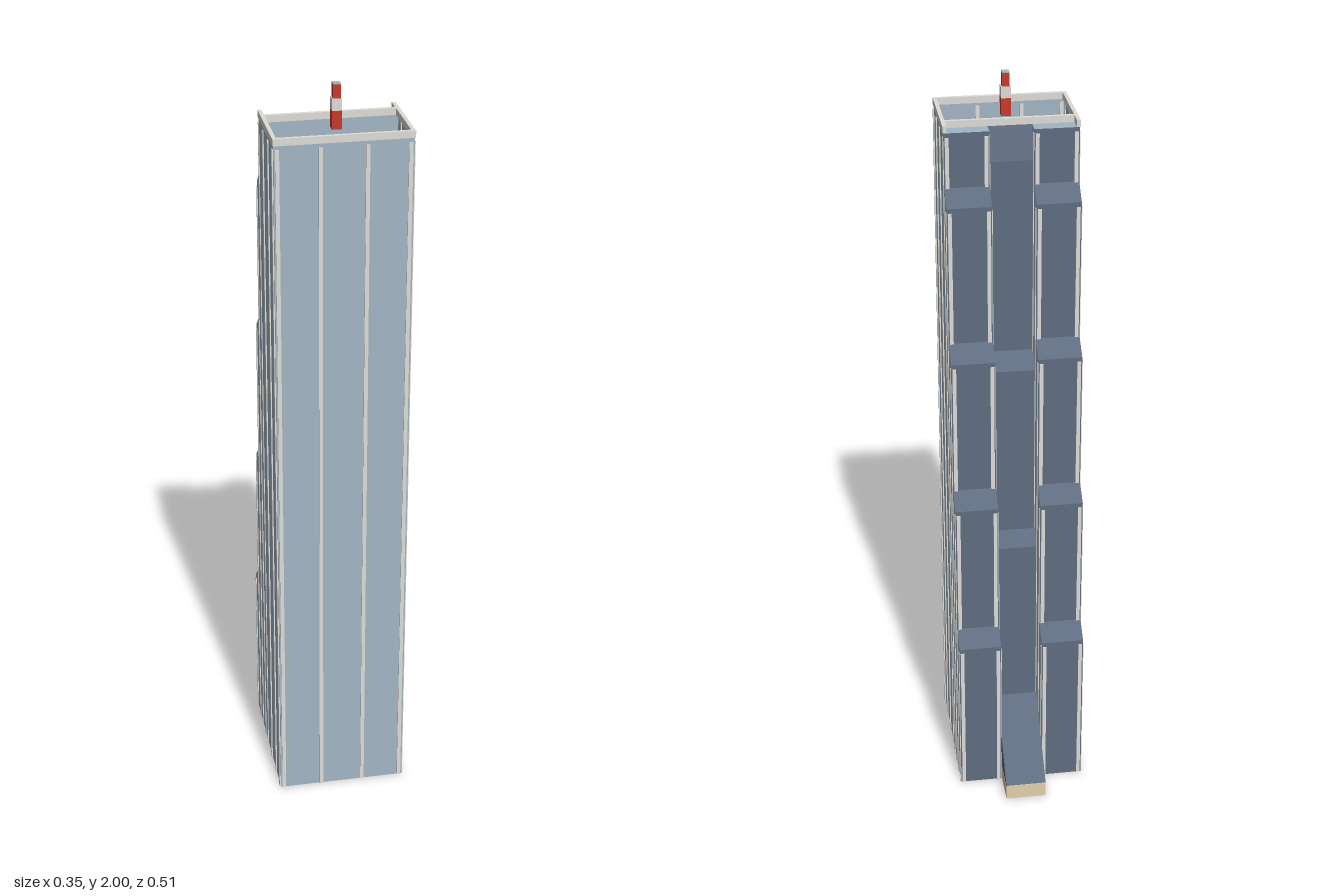
import * as THREE from 'three';

const flat = (name, color) => {
  const m = new THREE.MeshStandardMaterial({ color, side: THREE.DoubleSide });
  m.name = name;
  return m;
};

export function createModel() {
  const glass = flat('light blue glass', 0xa2b5c4);
  const slate = flat('dark slate panel', 0x5f6c80);
  const trim = flat('pale grey trim', 0xdedcd7);
  const sand = flat('sand stone', 0xe0d0aa);
  const red = flat('mast red', 0xc83a2a);
  const model = new THREE.Group();
  model.name = 'tower';

  // one mesh made of four-cornered faces
  function faces(name, material, quads, parent = model) {
    const pos = [];
    for (const [a, b, c, d] of quads) pos.push(...a, ...b, ...c, ...a, ...c, ...d);
    const g = new THREE.BufferGeometry();
    g.setAttribute('position', new THREE.Float32BufferAttribute(pos, 3));
    g.computeVertexNormals();
    const mesh = new THREE.Mesh(g, material);
    mesh.name = name;
    parent.add(mesh);
  }

  // box given by its limits on each axis
  function box(name, material, x0, x1, y0, y1, z0, z1, parent = model) {
    const mesh = new THREE.Mesh(new THREE.BoxGeometry(x1 - x0, y1 - y0, z1 - z0), material);
    mesh.position.set((x0 + x1) / 2, (y0 + y1) / 2, (z0 + z1) / 2);
    mesh.name = name;
    parent.add(mesh);
  }

  // open shell: glass cheeks, a slate back and a roof falling towards the back
  function bay(name, x0, x1, zf, zb, yf, yb, roofMat = slate) {
    const g = new THREE.Group();
    g.name = name;
    model.add(g);
    faces('cheeks', glass, [
      [[x1, 0, zf], [x1, 0, zb], [x1, yb, zb], [x1, yf, zf]],
      [[x0, 0, zb], [x0, 0, zf], [x0, yf, zf], [x0, yb, zb]],
    ], g);
    faces('backPanel', slate, [[[x1, 0, zb], [x0, 0, zb], [x0, yb, zb], [x1, yb, zb]]], g);
    faces('roof', roofMat, [[[x0, yf, zf], [x1, yf, zf], [x1, yb, zb], [x0, yb, zb]]], g);
    return g;
  }

  // hollow main shaft, open at both ends
  const X = 0.173, ZF = 0.25, ZB = 0.065, H = 1.89;
  faces('shaftWalls', glass, [
    [[-X, 0, ZF], [X, 0, ZF], [X, H, ZF], [-X, H, ZF]],
    [[X, 0, ZB], [-X, 0, ZB], [-X, H, ZB], [X, H, ZB]],
    [[X, 0, ZF], [X, 0, ZB], [X, H, ZB], [X, H, ZF]],
    [[-X, 0, ZB], [-X, 0, ZF], [-X, H, ZF], [-X, H, ZB]],
  ]);

  // rim around the open top
  box('rimFront', trim, -0.175, 0.175, 1.885, 1.903, 0.242, 0.252);
  box('rimBack', trim, -0.165, 0.165, 1.885, 1.903, 0.061, 0.071);
  for (const s of [-1, 1]) {
    const x = s * 0.17;
    box('rimSide', trim, x - 0.005, x + 0.005, 1.885, 1.903, 0.022, 0.242);
  }

  // thin vertical ribs on the front and sides
  for (const x of [-0.164, -0.058, 0.058, 0.164]) {
    box('frontRib', trim, x - 0.005, x + 0.005, 0, 1.875, 0.249, 0.253);
  }
  for (const s of [-1, 1]) {
    for (const z of [0.24, 0.175, 0.1]) {
      const x = s * 0.1735;
      box('sideRib', trim, x - 0.0025, x + 0.0025, 0, 1.875, z - 0.005, z + 0.005);
    }
  }

  // stepped side bays: [front z, back z, roof height at front, at back]
  const steps = [
    [0.065, 0.022, 1.885, 1.885],
    [0.022, -0.021, 1.74, 1.7],
    [-0.021, -0.068, 1.325, 1.285],
    [-0.068, -0.115, 0.91, 0.87],
    [-0.115, -0.161, 0.495, 0.455],
  ];
  for (const s of [-1, 1]) {
    const [x0, x1] = s > 0 ? [0.057, 0.173] : [-0.173, -0.057];
    steps.forEach(([zf, zb, yf, yb], i) => {
      const g = bay('sideBay', x0, x1, zf, zb, yf, yb, i ? slate : glass);
      const top = yb - 0.012;
      for (const x of [x0 + 0.008, x1 - 0.008]) {
        box('backRib', trim, x - 0.005, x + 0.005, 0, top, zb - 0.002, zb + 0.002, g);
      }
      for (const x of [x0, x1]) {
        box('cheekRib', trim, x - 0.002, x + 0.002, 0, top, zb + 0.003, zb + 0.012, g);
      }
    });
  }

  // stepped central bays set back between the side bays
  const W = 0.057;
  bay('centreBay', -W, W, 0.061, 0.031, 1.885, 1.8);
  bay('centreBay', -W, W, 0.031, -0.015, 1.27, 1.23);
  bay('centreBay', -W, W, -0.027, -0.06, 0.75, 0.71);

  // entrance: open stone base under a sloping canopy
  const E = 0.056, zIn = -0.072, zOut = -0.255, yLow = 0.045, yHigh = 0.228;
  faces('canopy', slate, [
    [[-E, yHigh, zIn], [E, yHigh, zIn], [E, yLow, zOut], [-E, yLow, zOut]],
  ]);
  for (const s of [-1, 1]) {
    const x = s * (E - 0.005);
    const cheek = [[s * E, yLow, zIn], [s * E, yLow, zOut], [s * E, yHigh, zIn]];
    if (s < 0) cheek.reverse();
    faces('canopyCheek', slate, [[...cheek, cheek[2]]]);
    box('entranceSide', sand, x - 0.005, x + 0.005, 0, yLow - 0.001, zOut + 0.01, zIn);
  }
  box('entranceFront', sand, -E, E, 0, yLow - 0.001, zOut, zOut + 0.01);

  // banded mast
  const mast = new THREE.Group();
  mast.name = 'mast';
  model.add(mast);
  const band = (name, mat, r, y0, y1) => box(name, mat, -r, r, y0, y1, 0.143 - r, 0.143 + r, mast);
  band('mastBase', red, 0.0125, 1.885, 1.932);
  band('mastCollar', trim, 0.0125, 1.932, 1.962);
  band('mastTop', red, 0.0095, 1.962, 1.997);
  band('mastCap', glass, 0.0095, 1.997, 2.0);

  return model;
}
